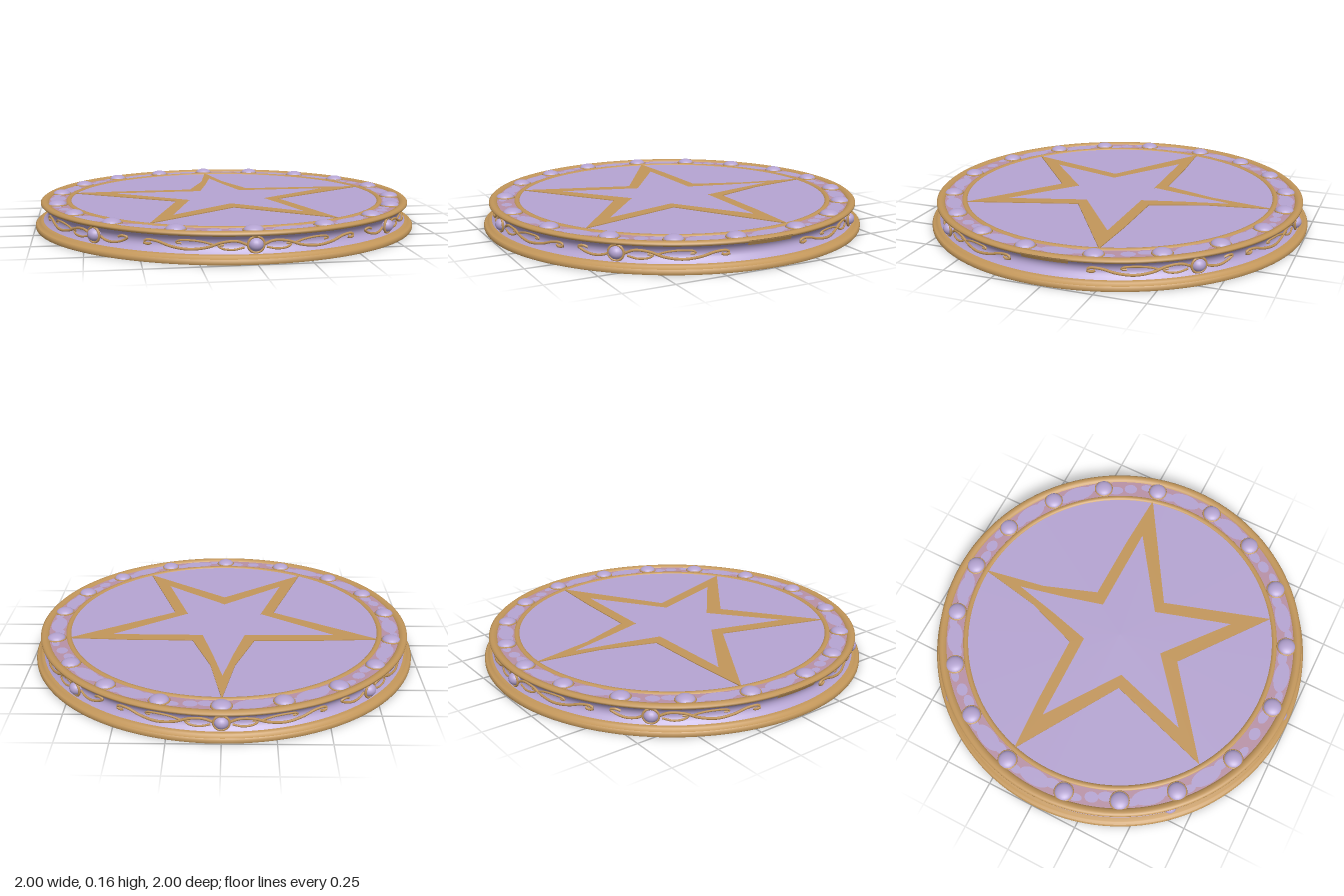
import * as THREE from 'three';

const mat = (name, color) => Object.assign(new THREE.MeshStandardMaterial({ color }), { name });
const V2 = (p) => new THREE.Vector2(p[0], p[1]);
const deg = Math.PI / 180;
const MID = 0.08; // height of the middle of the side wall

export function createModel() {
  const gold = mat('gold', 0xc2965a);
  const lilac = mat('lilac', 0xb5a4d2);
  const rose = mat('rose', 0xb891a6);
  const model = new THREE.Group();
  model.name = 'starPlatform';

  const add = (name, geometry, material, parent = model) => {
    const m = new THREE.Mesh(geometry, material);
    m.name = name;
    parent.add(m);
    return m;
  };
  const lathe = (name, pts, material) => add(name, new THREE.LatheGeometry(pts.map(V2), 128), material);

  // Side wall: concave, narrowest halfway up
  const wallRadius = (y) => 0.935 + 0.03 * Math.min(1, ((y - MID) / 0.045) ** 2);
  const wall = [];
  for (let i = 0; i <= 10; i++) {
    const y = 0.033 + i * 0.0094;
    wall.push([wallRadius(y), y]);
  }
  lathe('sideWall', wall, lilac);

  // Gold foot, underside and upper rim
  lathe('footEdge', [[0.997, 0], [1, 0.006], [1, 0.018], [0.994, 0.024]], gold);
  lathe('footStep', [[0.994, 0.024], [0.982, 0.027], [0.978, 0.034], [0.968, 0.039], [0.94, 0.039]], gold);
  add('underside', new THREE.CircleGeometry(0.997, 128).rotateX(Math.PI / 2), gold);
  lathe('upperRim', [[0.945, 0.118], [0.962, 0.119], [0.97, 0.125], [0.97, 0.133], [0.962, 0.14],
    [0.95, 0.142], [0.935, 0.139], [0.927, 0.13]], gold);

  // Top deck, rose band and inner gold ring
  add('deck', new THREE.CircleGeometry(0.83, 128).rotateX(-Math.PI / 2), lilac).position.y = 0.131;
  add('band', new THREE.RingGeometry(0.82, 0.935, 128).rotateX(-Math.PI / 2), rose).position.y = 0.131;
  lathe('innerRing', [[0.84, 0.13], [0.836, 0.136], [0.826, 0.138], [0.817, 0.136], [0.812, 0.13]], gold);

  // Star outline, right half listed from the back tip to the front notch as [x, z]
  const outline = (half) => {
    const left = half.slice(1, -1).reverse().map(([x, z]) => [-x, z]);
    return [...half, ...left].map(([x, z]) => new THREE.Vector2(x, -z));
  };
  const star = new THREE.Shape(outline([[0, -0.83], [0.06, -0.5], [0.16, -0.22], [0.5, -0.215], [0.8, -0.2],
    [0.27, 0.13], [0.445, 0.68], [0, 0.34]]));
  star.holes.push(new THREE.Path(outline([[0, -0.61], [0.055, -0.37], [0.11, -0.16], [0.58, -0.155],
    [0.2, 0.11], [0.322, 0.505], [0, 0.24]])));
  add('starOutline', new THREE.ExtrudeGeometry(star, { depth: 0.005, bevelEnabled: false })
    .rotateX(-Math.PI / 2), gold).position.y = 0.13;

  // Domed studs on the band, angles measured from the back
  const half = [18.6, 38, 57, 76.9, 98.5, 116.9, 135.9, 157.5];
  const angles = [0, ...half, 180, ...half.map((a) => 360 - a).reverse()];
  const dome = new THREE.SphereGeometry(0.047, 20, 8, 0, Math.PI * 2, 0, Math.PI / 2).scale(1, 0.5, 1);
  const collar = new THREE.TorusGeometry(0.047, 0.005, 6, 24).rotateX(Math.PI / 2);
  angles.forEach((a) => {
    const stud = new THREE.Group();
    stud.name = 'bandStud';
    stud.position.set(0.89 * Math.sin(a * deg), 0.132, -0.89 * Math.cos(a * deg));
    add('studDome', dome, lilac, stud);
    add('studCollar', collar, gold, stud);
    model.add(stud);
  });

  // Lilac blotches between the studs
  const patch = (a, r, halfLength, halfWidth) => {
    const p = add('bandPatch', new THREE.CircleGeometry(1, 20).rotateX(-Math.PI / 2)
      .scale(halfLength, 1, halfWidth), lilac);
    p.position.set(r * Math.sin(a * deg), 0.1325, -r * Math.cos(a * deg));
    p.rotation.y = -a * deg;
  };
  angles.forEach((a, i) => {
    const next = i + 1 < angles.length ? angles[i + 1] : 360;
    const long = i % 3 !== 0;
    patch((a + next) / 2, 0.883, long ? 0.085 : 0.035, long ? 0.04 : 0.028);
    patch(a + 4.5, 0.872, 0.04, 0.025);
    patch(a - 4, 0.9, 0.035, 0.02);
  });

  // Scrollwork tube laid on the wall; points are [degrees from the jewel, height]
  const scroll = (parent, pts, radius) => {
    const path = new THREE.CatmullRomCurve3(pts.map(([a, y]) => {
      const r = wallRadius(y) + 0.004;
      return new THREE.Vector3(r * Math.sin(a * deg), y, r * Math.cos(a * deg));
    }));
    add('scroll', new THREE.TubeGeometry(path, 40, radius, 6), gold, parent);
  };
  const longVine = [[2, 0.075], [5, 0.094], [9, 0.088], [13, 0.066], [18, 0.057], [23, 0.066], [27, 0.085],
    [30, 0.088], [31, 0.076], [29.5, 0.069], [28.5, 0.076]];
  const leafVine = [[11, 0.076], [14, 0.09], [18, 0.097], [21, 0.092], [21.5, 0.083], [20, 0.081]];
  const shortVine = [[2, 0.075], [4, 0.063], [7, 0.06], [10, 0.072], [11.5, 0.088], [10, 0.095], [8.5, 0.088]];
  const curl = [[3, 0.066], [6, 0.057], [9, 0.062], [10, 0.073], [8.5, 0.077]];
  const mirror = (pts, s) => pts.map(([a, y]) => [a * s, y]);

  // Jewels with scrolls: one in the middle and one to each side, front and back
  for (const facing of [0, 180]) {
    for (const side of [-1, 0, 1]) {
      const ornament = new THREE.Group();
      ornament.name = 'sideOrnament';
      ornament.rotation.y = (facing + side * 47.5) * deg;
      model.add(ornament);
      const jewel = add('jewel', new THREE.SphereGeometry(0.035, 20, 14).scale(1, 0.9, 0.95), lilac, ornament);
      jewel.position.set(0, MID, 0.946);
      const setting = add('jewelSetting', new THREE.TorusGeometry(0.036, 0.006, 8, 28), gold, ornament);
      setting.position.set(0, MID, 0.952);
      for (const s of [-1, 1]) {
        if (side === 0 || s === side) {
          scroll(ornament, mirror(longVine, s), 0.0065);
          scroll(ornament, mirror(leafVine, s), 0.005);
          scroll(ornament, mirror(curl, s), 0.005);
        } else {
          scroll(ornament, mirror(shortVine, s), 0.006);
        }
      }
    }
  }

  // Thickened rim clasps at the left and right
  for (const s of [-1, 1]) {
    const clasp = add('rimClasp', new THREE.CylinderGeometry(0.972, 0.958, 0.025, 12, 1, true,
      s * Math.PI / 2 - 0.12, 0.24), gold);
    clasp.position.y = 0.12;
  }
  return model;
}
